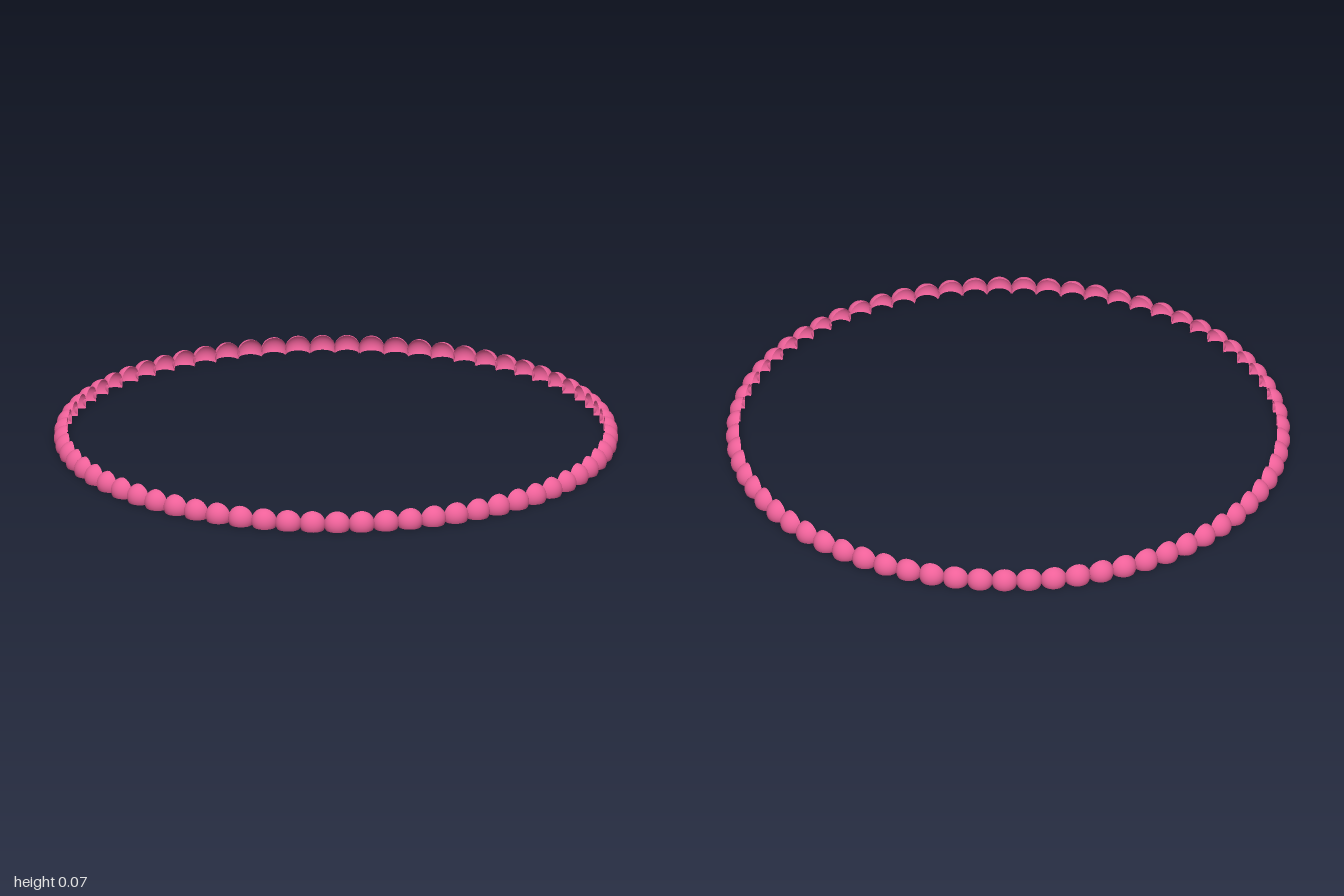
import * as THREE from 'three';

const COUNT = 69;          // beads around the ring
const BEAD = 0.046;        // bead radius
const RING = 1 - BEAD;     // radius of the bead centres
const CUT = THREE.MathUtils.degToRad(117); // the shell ends below its equator

export function createModel() {
  const model = new THREE.Group();
  model.name = 'beadedRing';
  const pink = new THREE.MeshStandardMaterial({ color: 0xee6199, side: THREE.DoubleSide });

  // Outward half of a hollow ball, open towards the ring centre and underneath
  const shell = new THREE.SphereGeometry(BEAD, 20, 16, Math.PI / 2, Math.PI, 0, CUT);
  shell.translate(RING, -BEAD * Math.cos(CUT), 0);

  // Beads side by side around the circle, the first one at +x
  for (let i = 0; i < COUNT; i++) {
    const bead = new THREE.Mesh(shell, pink);
    bead.name = `bead${i + 1}`;
    bead.rotation.y = (i / COUNT) * Math.PI * 2;
    model.add(bead);
  }
  return model;
}
